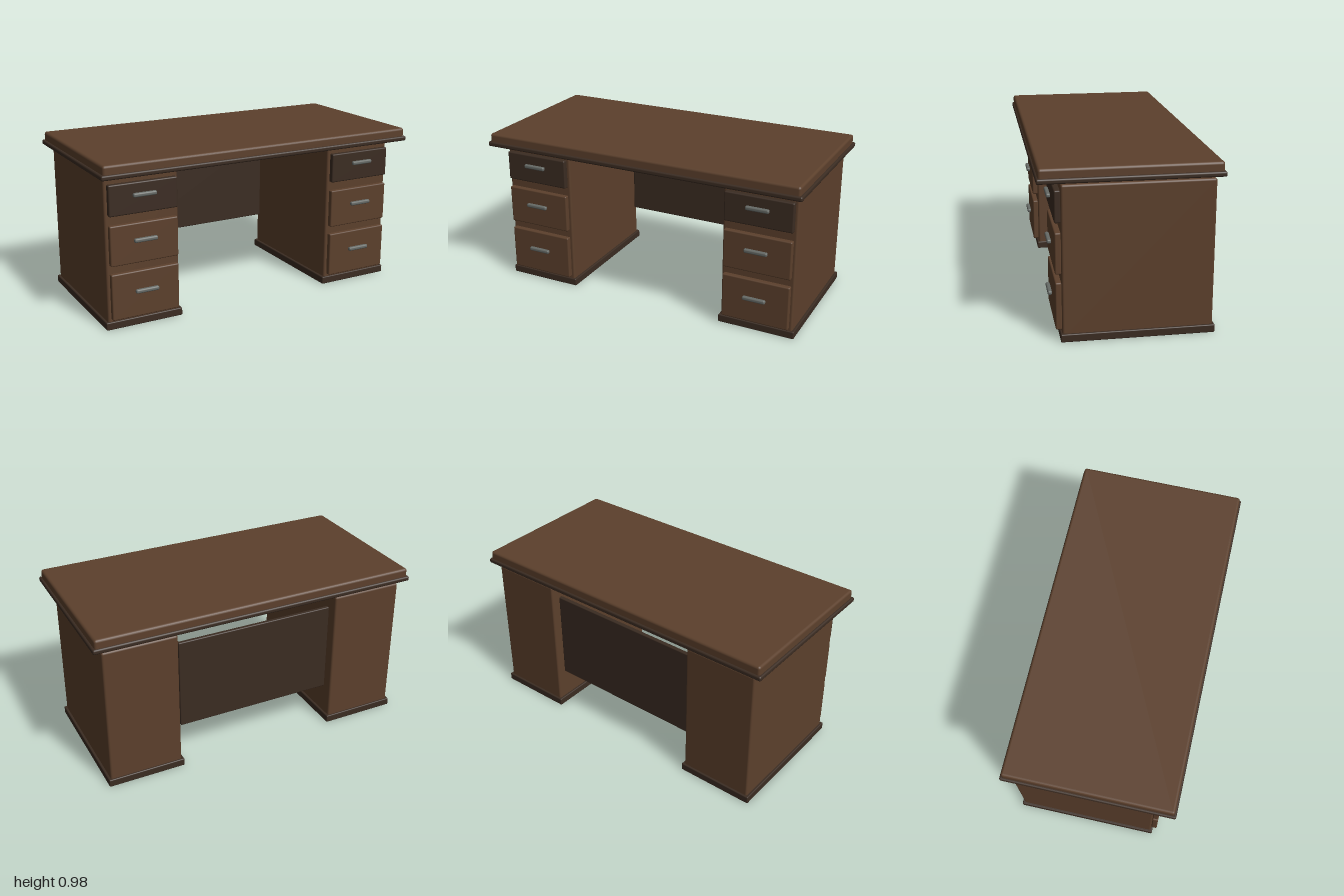
import * as THREE from 'three';
import { RoundedBoxGeometry } from 'three/addons/geometries/RoundedBoxGeometry.js';

const material = (name, color) => {
  const m = new THREE.MeshStandardMaterial({ color });
  m.name = name;
  return m;
};

// Rounded box given by its extents along each axis
function block(name, mat, [x0, x1], [y0, y1], [z0, z1], radius) {
  const geometry = new RoundedBoxGeometry(x1 - x0, y1 - y0, z1 - z0, 2, radius);
  const mesh = new THREE.Mesh(geometry, mat);
  mesh.name = name;
  mesh.position.set((x0 + x1) / 2, (y0 + y1) / 2, (z0 + z1) / 2);
  return mesh;
}

export function createModel() {
  const wood = material('brown wood', 0x5c402c);
  const darkWood = material('dark wood', 0x3b2c22);
  const metal = material('grey metal', 0x666a66);

  const desk = new THREE.Group();
  desk.name = 'desk';

  // Desktop with a dark moulding around its lower edge
  desk.add(
    block('desktop', wood, [-0.987, 0.987], [0.902, 0.975], [-0.485, 0.485], 0.015),
    block('desktopMoulding', darkWood, [-1, 1], [0.896, 0.925], [-0.495, 0.495], 0.01)
  );

  // Hanging panel between the pedestals, near the back
  desk.add(block('modestyPanel', darkWood, [-0.488, 0.488], [0.25, 0.8], [-0.42, -0.395], 0.006));

  // Drawers: bottom, top, handle height, colour
  const drawers = [
    [0.665, 0.842, 0.775, darkWood],
    [0.38, 0.612, 0.517, wood],
    [0.062, 0.333, 0.219, wood],
  ];

  // One pedestal on each side
  for (const side of [-1, 1]) {
    const cx = side * 0.725;
    const span = (half) => [cx - half, cx + half];
    const pedestal = new THREE.Group();
    pedestal.name = side > 0 ? 'leftPedestal' : 'rightPedestal';
    pedestal.add(
      block('cabinet', wood, span(0.22), [0.02, 0.875], [-0.459, 0.366], 0.012),
      block('plinth', darkWood, span(0.234), [0, 0.046], [-0.47, 0.376], 0.006)
    );
    for (const [y0, y1, handleY, mat] of drawers) {
      pedestal.add(
        block('drawerFront', mat, span(0.204), [y0, y1], [0.366, 0.4], 0.008),
        block('drawerHandle', metal, span(0.07), [handleY - 0.012, handleY + 0.012], [0.404, 0.428], 0.009)
      );
    }
    desk.add(pedestal);
  }
  return desk;
}
